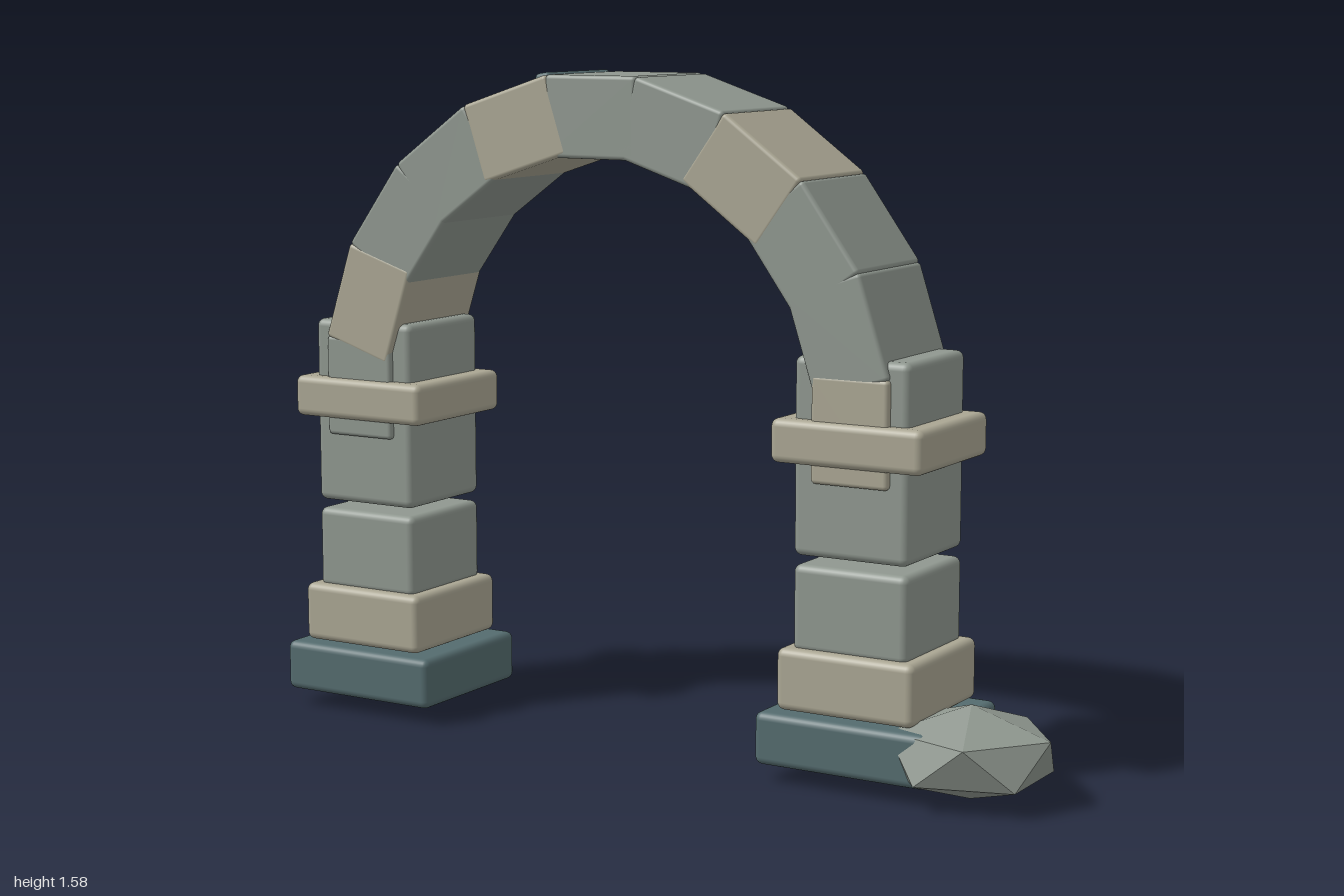
import * as THREE from 'three';
import { RoundedBoxGeometry } from 'three/addons/geometries/RoundedBoxGeometry.js';
import { ConvexGeometry } from 'three/addons/geometries/ConvexGeometry.js';

const stone = new THREE.MeshStandardMaterial({ color: 0x8f978f });
const sandstone = new THREE.MeshStandardMaterial({ color: 0xaaa693 });
const slate = new THREE.MeshStandardMaterial({ color: 0x546b6e });
const rubble = new THREE.MeshStandardMaterial({ color: 0x8f978f, flatShading: true });

const CX = -0.12, CZ = -0.0175;   // middle of the arch
const SPRING = 0.81;              // height of the arch's centre

function block(name, w, h, d, material, radius = 0.018) {
  const mesh = new THREE.Mesh(new RoundedBoxGeometry(w, h, d, 3, radius), material);
  mesh.name = name;
  return mesh;
}

// Stacked blocks: name, width, depth, bottom, top, material
const COURSES = [
  ['base', 0.428, 0.38, 0.04, 0.162, slate],
  ['plinth', 0.342, 0.335, 0.167, 0.31, sandstone],
  ['lowerBlock', 0.285, 0.285, 0.3, 0.5, stone],
  ['upperBlock', 0.285, 0.285, 0.52, 0.97, stone],
  ['collar', 0.375, 0.345, 0.73, 0.83, sandstone],
];

function createPillar(name, x) {
  const pillar = new THREE.Group();
  pillar.name = name;
  for (const [part, w, d, y0, y1, material] of COURSES) {
    const mesh = block(part, w, y1 - y0, d, material);
    mesh.position.y = (y0 + y1) / 2;
    pillar.add(mesh);
  }
  pillar.position.set(x, 0, CZ);
  return pillar;
}

// Eleven overlapping stones, 18 degrees apart, every third one pale
function createArch() {
  const arch = new THREE.Group();
  arch.name = 'arch';
  const middle = 0.67;
  for (let i = 0; i < 11; i++) {
    const a = Math.PI - i * Math.PI / 10;
    const pale = i % 3 === 1;
    const mesh = block('archStone', 0.243, 0.19, pale ? 0.31 : 0.308, pale ? sandstone : stone, 0.01);
    mesh.position.set(Math.cos(a) * middle, Math.sin(a) * middle, 0);
    mesh.rotation.z = a - Math.PI / 2;
    arch.add(mesh);
  }
  arch.position.set(CX, SPRING, -0.015);
  return arch;
}

// Fallen rock: squashed twelve-cornered solid standing on one corner
function createRock() {
  const points = [new THREE.Vector3(0, 1, 0), new THREE.Vector3(0, -1, 0)];
  for (let i = 0; i < 10; i++) {
    const a = i * Math.PI / 5;
    points.push(new THREE.Vector3(Math.cos(a) * 0.894, i % 2 ? -0.447 : 0.447, Math.sin(a) * 0.894));
  }
  const geometry = new ConvexGeometry(points);
  geometry.scale(0.212, 0.107, 0.2);
  const rock = new THREE.Mesh(geometry, rubble);
  rock.name = 'fallenRock';
  rock.position.set(0.81, 0.107, 0.04);
  return rock;
}

export function createModel() {
  const model = new THREE.Group();
  model.name = 'stoneArch';
  model.add(createPillar('rightPillar', CX - 0.667), createPillar('leftPillar', CX + 0.667));
  model.add(createArch(), createRock());

  // Slate sliver wedged into the top joint
  const sliver = block('slateSliver', 0.04, 0.035, 0.27, slate, 0.01);
  sliver.position.set(-0.268, 1.56, -0.025);
  sliver.rotation.z = 0.15;
  model.add(sliver);
  return model;
}
